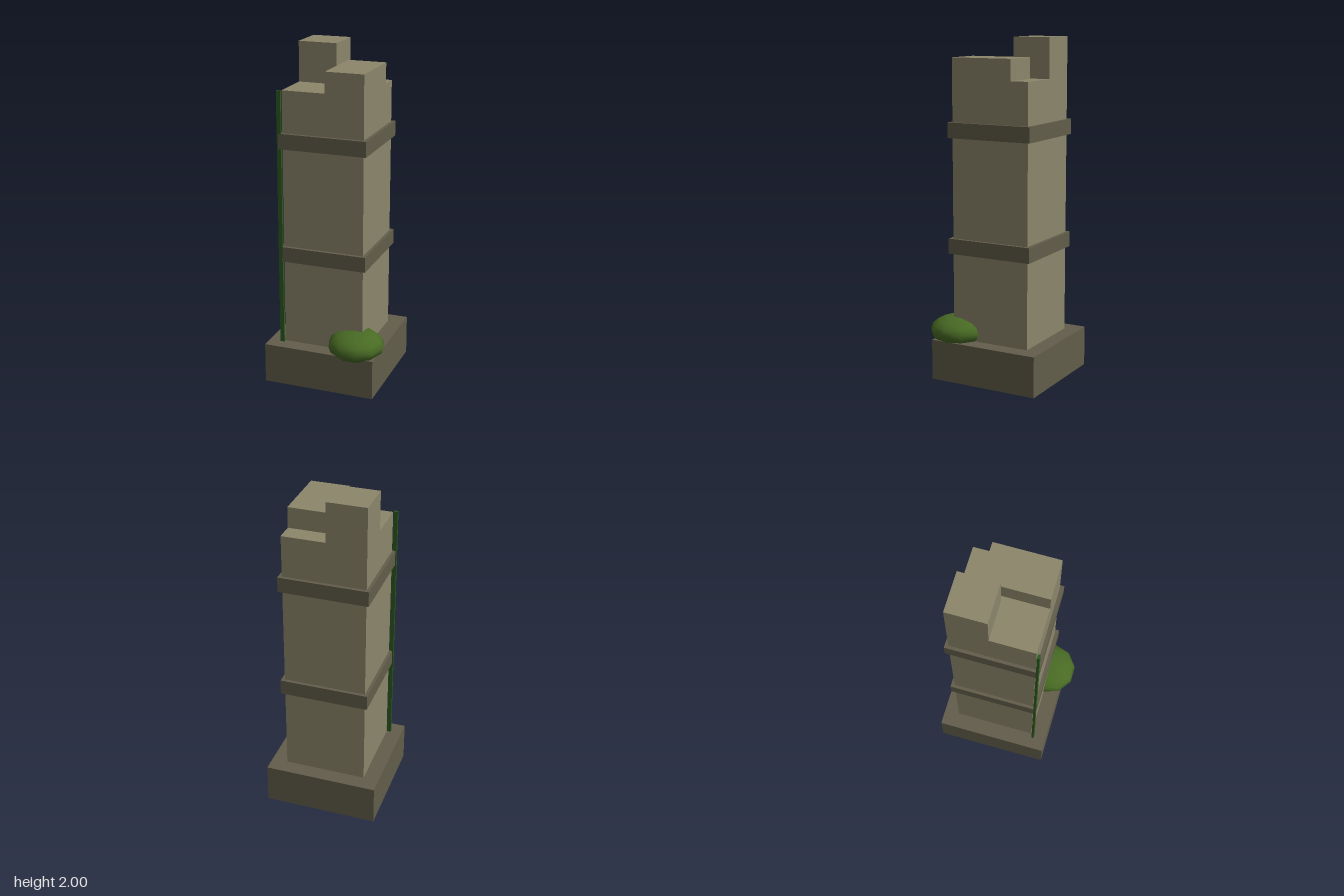
import * as THREE from 'three';

const material = (color) => new THREE.MeshStandardMaterial({ color });

export function createModel() {
  const tower = new THREE.Group();
  tower.name = 'ruinedTower';

  const stone = material(0x8c866b);
  const darkStone = material(0x625d4a);
  const vineGreen = material(0x2d5a1e);
  const bushGreen = material(0x486b24);

  // Box given by its extents along each axis
  function block(name, mat, [x0, x1], [y0, y1], [z0, z1]) {
    const mesh = new THREE.Mesh(new THREE.BoxGeometry(x1 - x0, y1 - y0, z1 - z0), mat);
    mesh.name = name;
    mesh.position.set((x0 + x1) / 2, (y0 + y1) / 2, (z0 + z1) / 2);
    tower.add(mesh);
  }

  // Plinth and shaft
  block('plinth', darkStone, [-0.355, 0.32], [0, 0.24], [-0.368, 0.307]);
  block('shaft', stone, [-0.262, 0.225], [0.24, 1.765], [-0.275, 0.212]);

  // Bands around the shaft
  [['lowerBand', 0.753, 0.843], ['upperBand', 1.43, 1.52]].forEach(([name, y0, y1]) =>
    block(name, darkStone, [-0.28, 0.245], [y0, y1], [-0.295, 0.233]));

  // Broken remains of the top
  block('tallTopBlock', stone, [-0.262, -0.031], [1.765, 2], [-0.275, -0.045]);
  block('lowTopBlock', stone, [-0.004, 0.225], [1.765, 1.887], [-0.166, 0.212]);

  // Vine climbing the front right corner
  block('vine', vineGreen, [-0.287, -0.262], [0.24, 1.765], [0.219, 0.233]);

  // Flattened bush at the front left corner
  const bush = new THREE.Mesh(new THREE.SphereGeometry(0.168, 10, 8), bushGreen);
  bush.name = 'bush';
  bush.scale.y = 0.53;
  bush.position.set(0.185, 0.285, 0.206);
  tower.add(bush);

  return tower;
}
